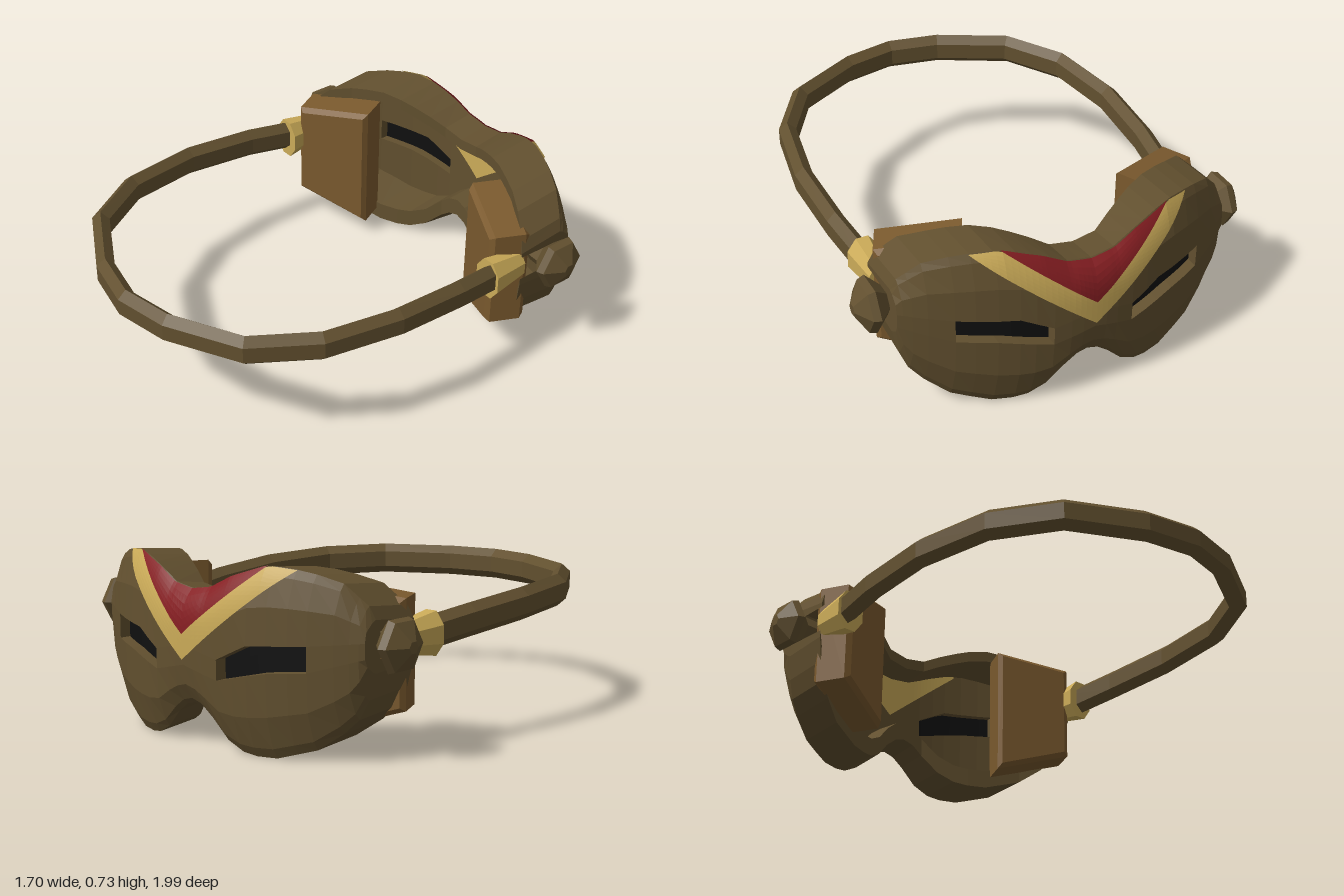
import * as THREE from 'three';

const mat = (name, color, side = THREE.FrontSide) => new THREE.MeshStandardMaterial({ name, color, side });

// Piecewise-linear lookup, symmetric in x
function lookup(table, x) {
  x = Math.abs(x);
  for (let i = 1; i < table.length; i++) {
    const [x0, y0] = table[i - 1], [x1, y1] = table[i];
    if (x <= x1) return y0 + (y1 - y0) * (x - x0) / (x1 - x0);
  }
  return table[table.length - 1][1];
}

// Mask outline, eye slits and depth
const top = x => lookup([[0, .63], [.1, .645], [.2, .695], [.35, .745], [.5, .73], [.62, .69], [.7, .61], [.72, .56]], x);
const bottom = x => lookup([[0, .185], [.07, .165], [.12, .11], [.2, .03], [.35, .005], [.53, .06], [.66, .16], [.7, .26], [.72, .36]], x);
const eyeLow = x => lookup([[0, .34], [.17, .30], [.36, .345], [.53, .36], [.72, .42]], x);
const eyeHigh = x => lookup([[0, .42], [.17, .38], [.3, .445], [.53, .46], [.72, .48]], x);
const rimZ = x => lookup([[0, -.8], [.1, -.795], [.3, -.7], [.53, -.6], [.72, -.49]], x);
const crownZ = x => -1 + .46 * x * x;
function outerZ(x, y) {
  const u = (y - bottom(x)) / (top(x) - bottom(x));
  return crownZ(x) + .06 * Math.pow(Math.abs(2 * u - 1), 4);
}

// Faceted geometry from polygons given as corner lists
function faceted(polys) {
  const pos = [];
  for (const p of polys)
    for (let k = 1; k < p.length - 1; k++) pos.push(...p[0], ...p[k], ...p[k + 1]);
  const g = new THREE.BufferGeometry();
  g.setAttribute('position', new THREE.Float32BufferAttribute(pos, 3));
  g.computeVertexNormals();
  return g;
}

// Quads between successive cross-sections
function loft(cols, closed, skip = () => false) {
  const polys = [];
  for (let i = 0; i < cols.length - 1; i++) {
    const a = cols[i], b = cols[i + 1], n = a.length;
    for (let j = 0; j < (closed ? n : n - 1); j++) {
      const k = (j + 1) % n;
      if (!skip(i, j)) polys.push([a[j], a[k], b[k], b[j]]);
    }
  }
  return polys;
}

function flat(geo) {
  const g = geo.index ? geo.toNonIndexed() : geo;
  g.computeVertexNormals();
  return g;
}

// Mirror a non-indexed geometry in x, keeping faces outward
function mirrored(geo) {
  const g = geo.clone(), p = g.attributes.position, a = p.array;
  for (let i = 0; i < a.length; i += 9) {
    const t = Array.from(a.slice(i, i + 9));
    [0, 6, 3].forEach((s, k) => {
      a[i + k * 3] = -t[s]; a[i + k * 3 + 1] = t[s + 1]; a[i + k * 3 + 2] = t[s + 2];
    });
  }
  g.computeVertexNormals();
  return g;
}

function maskGeometry() {
  const half = [.05, .1, .17, .24, .3, .38, .46, .53, .62, .67, .70, .72];
  const xs = [...half.map(x => -x).reverse(), 0, ...half];
  const rows = (b, t, x) => {
    const l = eyeLow(x), h = eyeHigh(x);
    return [b, b + .12 * (l - b), (b + l) / 2, l, h, (h + t) / 2, h + .88 * (t - h), t];
  };
  // Each section: front face up, back edge, hollow inside down, back edge
  const cols = xs.map(x => {
    const b = bottom(x), t = top(x), h = t - b, rz = rimZ(x);
    const outer = rows(b, t, x).map(y => [x, y, outerZ(x, y)]);
    const inner = rows(b + Math.min(.1, .25 * h), t - Math.min(.07, .2 * h), x)
      .map((y, j) => [x, y, j === 0 || j === 7 ? rz : crownZ(x) + .085]);
    return [...outer, [x, t - .02, rz], ...inner.reverse(), [x, b + .02, rz]];
  });
  const inEye = i => {
    const m = Math.abs((xs[i] + xs[i + 1]) / 2);
    return m > .17 && m < .53;
  };
  const polys = loft(cols, true, (i, j) => inEye(i) && (j === 3 || j === 12));
  // Walls of the eye slits
  for (let i = 0; i < xs.length - 1; i++) {
    if (!inEye(i)) continue;
    const a = cols[i], b = cols[i + 1];
    polys.push([b[4], b[12], a[12], a[4]], [a[3], a[13], b[13], b[3]]);
    if (!inEye(i - 1)) polys.push([a[3], a[4], a[12], a[13]]);
    if (!inEye(i + 1)) polys.push([b[13], b[12], b[4], b[3]]);
  }
  // Closed ends
  for (const end of [0, cols.length - 1]) {
    const c = cols[end], caps = [[c[7], c[8], c[9]], [c[16], c[17], c[0]]];
    for (let k = 0; k < 7; k++) caps.push([c[k], c[k + 1], c[15 - k], c[16 - k]]);
    polys.push(...caps.map(p => end ? p : p.reverse()));
  }
  return faceted(polys);
}

// Thin painted or inset sheet following the mask between two height curves
function sheet(x0, x1, n, low, high, depth) {
  const cols = [];
  for (let i = 0; i <= n; i++) {
    const x = x0 + (x1 - x0) * i / n, l = low(x), h = Math.max(l, high(x));
    cols.push(Array.from({ length: 7 }, (_, j) => {
      const y = l + (h - l) * j / 6;
      return [x, y, depth(x, y)];
    }));
  }
  return faceted(loft(cols, false));
}

function strapGeometry() {
  const side = [[.685, -.4, .46], [.715, -.15, .49], [.725, .17, .515], [.67, .5, .527], [.515, .75, .53], [.225, .905, .53]];
  const path = [...side, [0, .95, .53], ...side.map(([x, z, y]) => [-x, z, y]).reverse()];
  const section = [[.037, -.035], [.037, .035], [0, .068], [-.037, .035], [-.037, -.035], [0, -.068]];
  return faceted(loft(path.map(([x, z, y], i) => {
    const p = path[Math.max(0, i - 1)], q = path[Math.min(path.length - 1, i + 1)];
    const dx = q[0] - p[0], dz = q[1] - p[1], len = Math.hypot(dx, dz);
    return section.map(([o, v]) => [x + o * dz / len, y + v, z - o * dx / len]);
  }), true));
}

// Angled cheek pad with chamfered edges
function padGeometry() {
  const s = new THREE.Shape([[-.15, .11], [.15, .2], [.15, .6], [-.15, .645]].map(p => new THREE.Vector2(...p)));
  const g = new THREE.ExtrudeGeometry(s, { depth: .13, bevelEnabled: true, bevelSize: .02, bevelThickness: .02, bevelSegments: 1 });
  g.translate(0, 0, -.08).rotateY(-.45).translate(.52, 0, -.52);
  return flat(g);
}

// Faceted side knob
function knobGeometry() {
  const profile = [[0, -.05], [.055, -.05], [.06, .02], [.115, .075], [.105, .105], [.025, .15], [0, .15]];
  const g = new THREE.LatheGeometry(profile.map(p => new THREE.Vector2(...p)), 6);
  g.rotateZ(-Math.PI / 2).translate(.7, .465, -.64);
  return flat(g);
}

// Strap sleeve, narrowing towards the mask
function claspGeometry() {
  const g = new THREE.CylinderGeometry(.088, .06, .17, 8);
  g.rotateY(Math.PI / 8).rotateX(Math.PI / 2).scale(.78, 1.08, 1).translate(.68, .46, -.425);
  return flat(g);
}

export function createModel() {
  const model = new THREE.Group();
  model.name = 'maskWithStrap';
  const brown = mat('darkBrown', 0x62502f);
  const tan = mat('padBrown', 0x7b5a2e);
  const gold = mat('gold', 0xcbab58, THREE.DoubleSide);
  const red = mat('red', 0x861e22, THREE.DoubleSide);
  const black = mat('black', 0x101010, THREE.DoubleSide);
  const add = (name, geo, material) => {
    const m = new THREE.Mesh(geo, material);
    m.name = name;
    model.add(m);
  };
  const pair = (name, geo, material) => {
    add(name + 'Left', geo, material);
    add(name + 'Right', mirrored(geo), material);
  };

  add('maskShell', maskGeometry(), brown);
  add('strap', strapGeometry(), brown);
  pair('cheekPad', padGeometry(), tan);
  pair('sideKnob', knobGeometry(), brown);
  pair('strapClasp', claspGeometry(), gold);
  pair('eyeLens', sheet(.17, .53, 10, eyeLow, eyeHigh, x => crownZ(x) + .05), black);

  // Painted brow chevron on the face
  const vLow = x => .36 + .8 * Math.abs(x), vMid = x => Math.min(top(x), .46 + .8 * Math.abs(x));
  const onFace = (x, y) => outerZ(x, y) - .007;
  add('browChevron', sheet(-.465, .465, 40, vLow, vMid, onFace), gold);
  add('browPanel', sheet(-.355, .355, 40, vMid, top, onFace), red);
  // Matching mark on the hollow inside
  const insideTop = x => eyeHigh(x) + .88 * (top(x) - .07 - eyeHigh(x));
  add('innerBrowMark', sheet(-.34, .34, 40, vLow, insideTop, x => crownZ(x) + .09), gold);
  return model;
}
